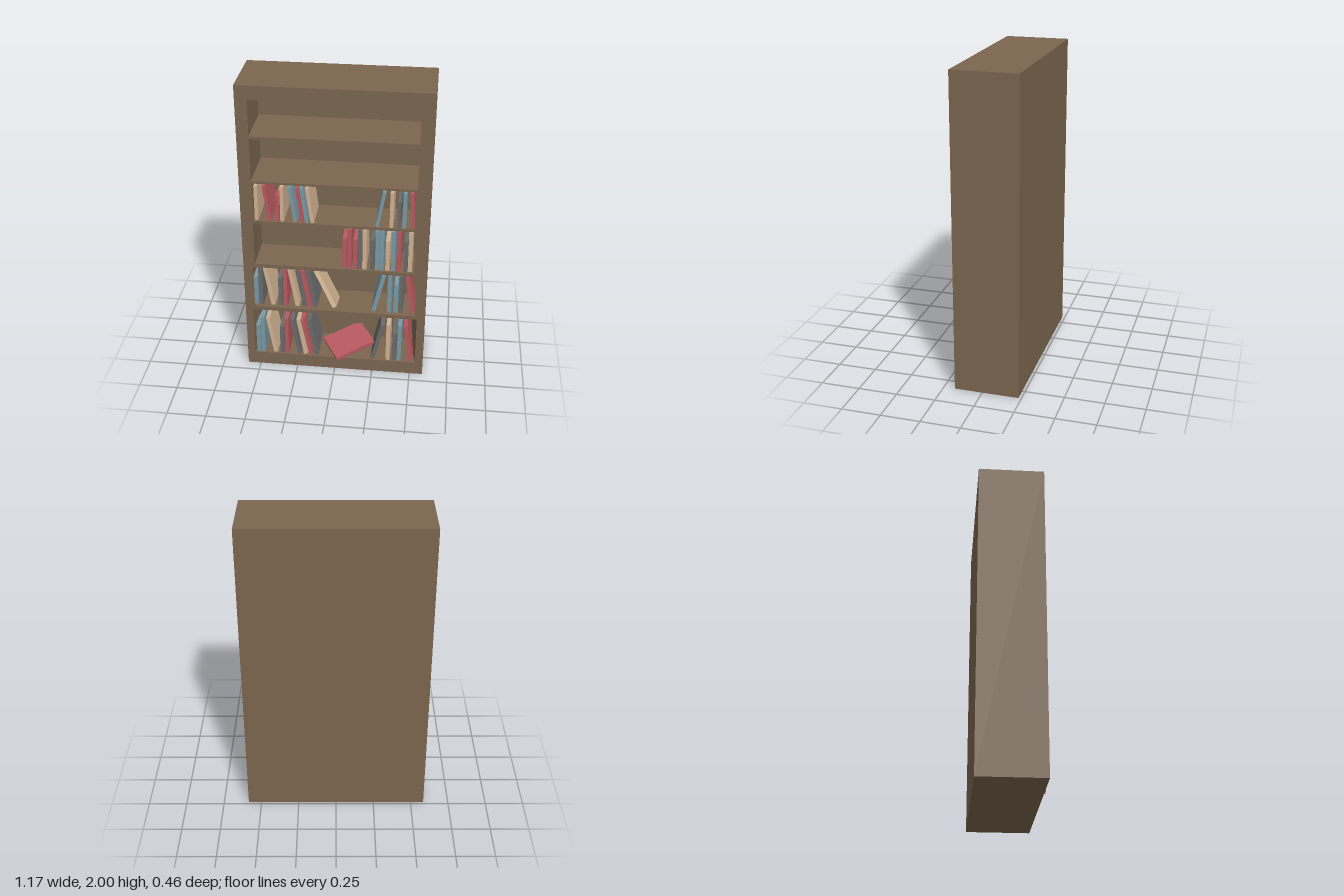
import * as THREE from 'three';

const FRONT = 0.178, BACK = -0.232, HALF_W = 0.585, HEIGHT = 2;
const paint = (color) => new THREE.MeshStandardMaterial({ color });
const wood = paint(0x7b664f);
const covers = { r: paint(0xb85a60), b: paint(0x7b9aa6), g: paint(0x6b6b6b), c: paint(0xd2b393) };

// Compartments: left, right, floor, ceiling, depth, inset of the back wall
const bays = [
  [-0.51, 0.503, 1.68, 1.912, 0.33, 0],
  [-0.51, 0.503, 1.382, 1.663, 0.33, 0],
  [-0.503, 0.493, 1.107, 1.367, 0.25, 0],
  [-0.51, 0.503, 0.79, 1.09, 0.25, 0],
  [-0.523, 0.52, 0.463, 0.765, 0.25, 0],
  [-0.537, 0.533, 0.09, 0.438, 0.25, 0.036],
];

// Rows of books: cover, x at the foot, lean (top shift to the left), short?
const rows = [
  { floor: 1.11, tall: 0.24, short: 0.18, width: 0.022, books: [
    ['c', -0.486, 0], ['r', -0.402, 0.034], ['r', -0.352, 0, 1], ['c', -0.326, 0],
    ['b', -0.243, 0.033], ['r', -0.198, 0.033], ['b', -0.172, 0.032], ['c', -0.137, 0.032],
    ['b', 0.262, -0.042], ['c', 0.35, 0], ['g', 0.397, 0, 1], ['b', 0.429, 0], ['r', 0.484, 0.014]] },
  { floor: 0.797, tall: 0.283, short: 0.214, width: 0.026, books: [
    ['r', 0.064, 0, 1], ['r', 0.094, 0], ['r', 0.13, 0, 1], ['g', 0.16, 0], ['c', 0.188, 0],
    ['g', 0.236, 0, 1], ['b', 0.268, 0], ['b', 0.296, 0], ['c', 0.333, 0, 1], ['b', 0.368, 0],
    ['r', 0.402, 0], ['g', 0.446, 0, 1], ['c', 0.474, 0]] },
  { floor: 0.48, tall: 0.278, short: 0.212, width: 0.026, books: [
    ['b', -0.51, 0, 1], ['g', -0.479, 0], ['c', -0.4, 0.048], ['g', -0.352, 0, 1], ['r', -0.32, 0],
    ['c', -0.241, 0.048], ['g', -0.193, 0.048], ['r', -0.161, 0.048], ['g', -0.125, 0.048],
    ['b', 0.251, -0.063], ['b', 0.352, 0], ['b', 0.394, 0, 1], ['g', 0.426, 0], ['r', 0.502, 0.038]] },
  { floor: 0.096, tall: 0.278, short: 0.212, width: 0.026, books: [
    ['b', -0.51, 0, 1], ['b', -0.479, 0], ['c', -0.395, 0.048], ['g', -0.352, 0, 1], ['r', -0.32, 0],
    ['g', -0.235, 0.048], ['c', -0.193, 0.048], ['r', -0.157, 0.055], ['g', -0.12, 0.052],
    ['g', 0.251, -0.063], ['c', 0.352, 0], ['g', 0.394, 0, 1], ['b', 0.426, 0], ['r', 0.505, 0.042]] },
];

function addMesh(parent, name, geometry, material) {
  const mesh = new THREE.Mesh(geometry, material);
  mesh.name = name;
  parent.add(mesh);
  return mesh;
}

// Box without its +z side
function openBox(w, h, d) {
  const box = new THREE.BoxGeometry(w, h, d);
  const index = Array.from(box.index.array);
  index.splice(24, 6);
  box.setIndex(index);
  box.clearGroups();
  return box;
}

// Inside of a compartment: an open box turned inside out, narrowing to the back
function bayLining([x0, x1, y0, y1, depth, inset]) {
  const w = x1 - x0, h = y1 - y0;
  const box = openBox(w, h, depth);
  const p = box.attributes.position;
  for (let i = 0; i < p.count; i++) {
    if (p.getZ(i) < 0) {
      p.setX(i, p.getX(i) * (1 - 2 * inset / w));
      p.setY(i, p.getY(i) * (1 - 0.6 * inset / h));
    }
  }
  box.setIndex(Array.from(box.index.array).reverse());
  box.computeVertexNormals();
  return box.translate((x0 + x1) / 2, (y0 + y1) / 2, FRONT - depth / 2);
}

function rectangle(PathType, x0, x1, y0, y1) {
  return new PathType([[x0, y0], [x1, y0], [x1, y1], [x0, y1]].map(([x, y]) => new THREE.Vector2(x, y)));
}

export function createModel() {
  const model = new THREE.Group();
  model.name = 'bookcase';

  // Cabinet: outer shell, front frame and compartment linings
  const shell = openBox(2 * HALF_W, HEIGHT, FRONT - BACK).translate(0, HEIGHT / 2, (FRONT + BACK) / 2);
  addMesh(model, 'cabinetShell', shell, wood);
  const face = rectangle(THREE.Shape, -HALF_W, HALF_W, 0, HEIGHT);
  face.holes = bays.map(([x0, x1, y0, y1]) => rectangle(THREE.Path, x0, x1, y0, y1));
  addMesh(model, 'frontFrame', new THREE.ShapeGeometry(face).translate(0, 0, FRONT), wood);
  for (const bay of bays) addMesh(model, 'shelfCompartment', bayLining(bay), wood);

  // Standing and leaning books, each touching the shelf with its lowest corner
  const bookDepth = 0.225;
  for (const { floor, tall, short, width, books } of rows) {
    const row = new THREE.Group();
    row.name = 'bookRow';
    model.add(row);
    for (const [cover, foot, lean, isShort] of books) {
      const h = isShort ? short : tall;
      const angle = Math.atan(lean / h);
      const length = (h - width * Math.abs(Math.sin(angle))) / Math.cos(angle);
      const book = addMesh(row, 'book', new THREE.BoxGeometry(width, length, bookDepth), covers[cover]);
      book.position.set(foot - lean / 2, floor + h / 2, FRONT - 0.004 - bookDepth / 2);
      book.rotation.z = angle;
    }
  }

  // Book slipping forward off its shelf
  const slipping = addMesh(model, 'slippingBook',
    new THREE.BoxGeometry(0.026, 0.275, bookDepth).translate(0, 0.1375, -bookDepth / 2), covers.c);
  slipping.position.set(0.005, 0.522, 0.218);
  slipping.rotation.set(-0.32, 0, 0.507);

  // Book lying across the bottom shelf
  const lying = addMesh(model, 'lyingBook', new THREE.BoxGeometry(0.28, 0.026, 0.22), covers.r);
  lying.position.set(0.084, 0.15, 0.064);
  lying.rotation.set(0.1, 0.506, 0.232, 'YZX');

  return model;
}
